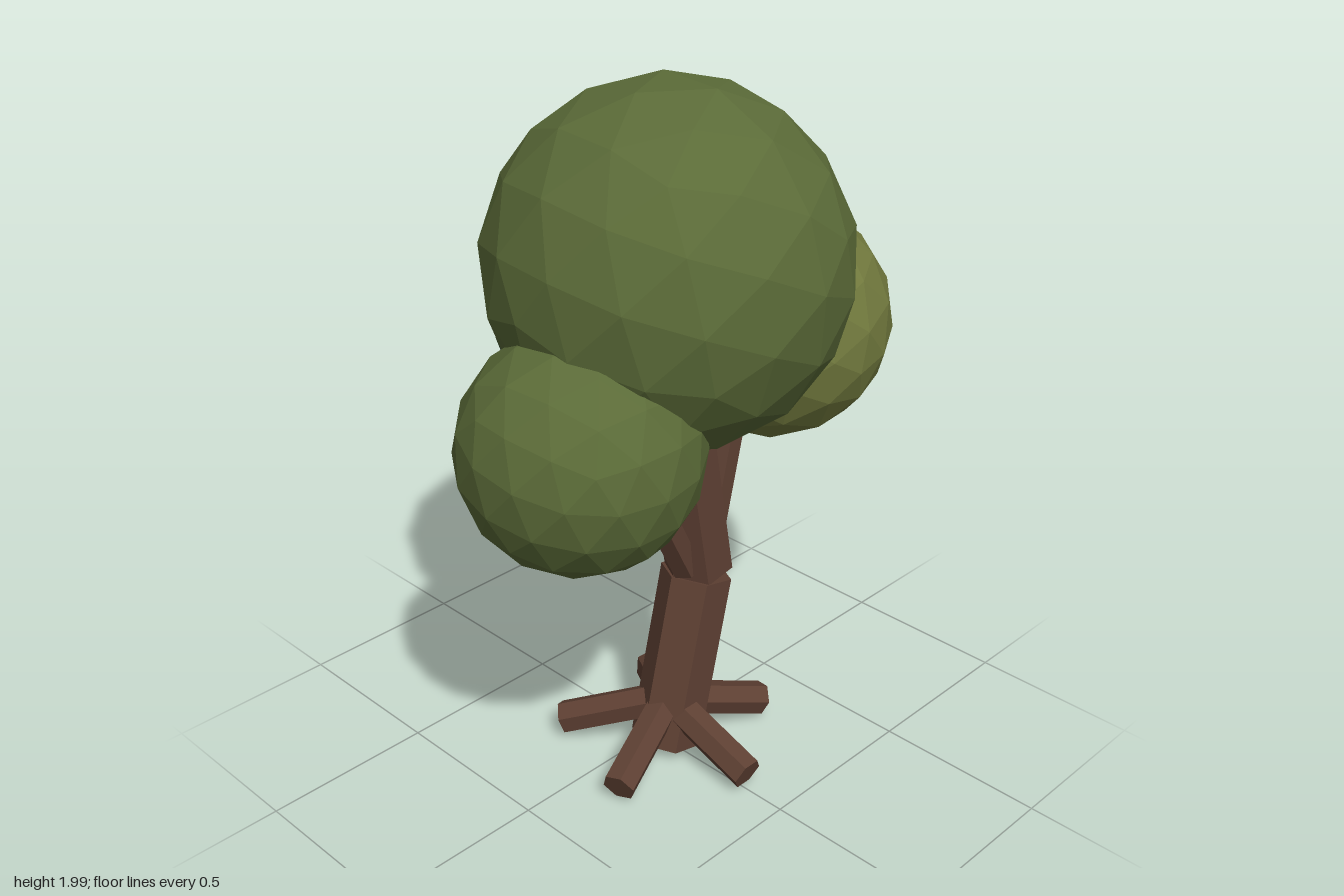
import * as THREE from 'three';

const material = (color) => new THREE.MeshStandardMaterial({ color, flatShading: true });
const V = (x, y, z) => new THREE.Vector3(x, y, z);

export function createModel() {
  const tree = new THREE.Group();
  tree.name = 'tree';
  const bark = material(0x5e4033);

  // Six-sided log between two points, one corner turned towards x
  function log(name, from, to, radius) {
    const axis = to.clone().sub(from);
    const geometry = new THREE.CylinderGeometry(radius, radius, axis.length(), 6);
    geometry.rotateY(Math.PI / 6);
    const mesh = new THREE.Mesh(geometry, bark);
    mesh.name = name;
    mesh.position.copy(from).add(to).multiplyScalar(0.5);
    mesh.quaternion.setFromUnitVectors(V(0, 1, 0), axis.normalize());
    tree.add(mesh);
  }

  // Faceted ball of leaves
  function crown(name, color, [x, y, z], radius, [rx, ry, rz]) {
    const mesh = new THREE.Mesh(new THREE.IcosahedronGeometry(radius, 2), material(color));
    mesh.name = name;
    mesh.position.set(x, y, z);
    mesh.rotation.set(rx, ry, rz);
    tree.add(mesh);
  }

  // Trunk in two leaning pieces
  log('lowerTrunk', V(-0.01, 0.025, 0.06), V(0.113, 0.545, 0.06), 0.104);
  log('upperTrunk', V(0.122, 0.56, 0.06), V(0.03, 1.06, 0.06), 0.1);

  // Branches reaching into the smaller crowns
  log('leftBranch', V(0.15, 0.62, 0.06), V(0.24, 1.06, 0.07), 0.048);
  log('rightBranch', V(0.06, 0.59, 0.07), V(-0.16, 1.0, 0.09), 0.048);
  log('backBranch', V(0.1, 0.63, 0.03), V(0.06, 1.1, -0.14), 0.05);

  // Five roots spread evenly around the foot
  for (let i = 0; i < 5; i++) {
    const a = Math.PI / 2 + (i * Math.PI * 2) / 5;
    const at = (r, y) => V(r * Math.cos(a), y, 0.06 + r * Math.sin(a));
    log('root' + (i + 1), at(0.02, 0.155), at(0.315, 0.055), 0.05);
  }

  // Crowns
  crown('mainCrown', 0x5b6b38, [-0.007, 1.515, 0.06], 0.487, [0.3, 0.5, 0.1]);
  crown('leftCrown', 0x727a3e, [0.365, 1.27, 0.095], 0.333, [0.7, 0.2, 0.4]);
  crown('rightCrown', 0x5b6b38, [-0.37, 1.135, 0.11], 0.323, [0.2, 0.9, 0.6]);
  crown('backCrown', 0x48603f, [0.035, 1.255, -0.24], 0.292, [0.5, 0.4, 0.2]);

  return tree;
}
